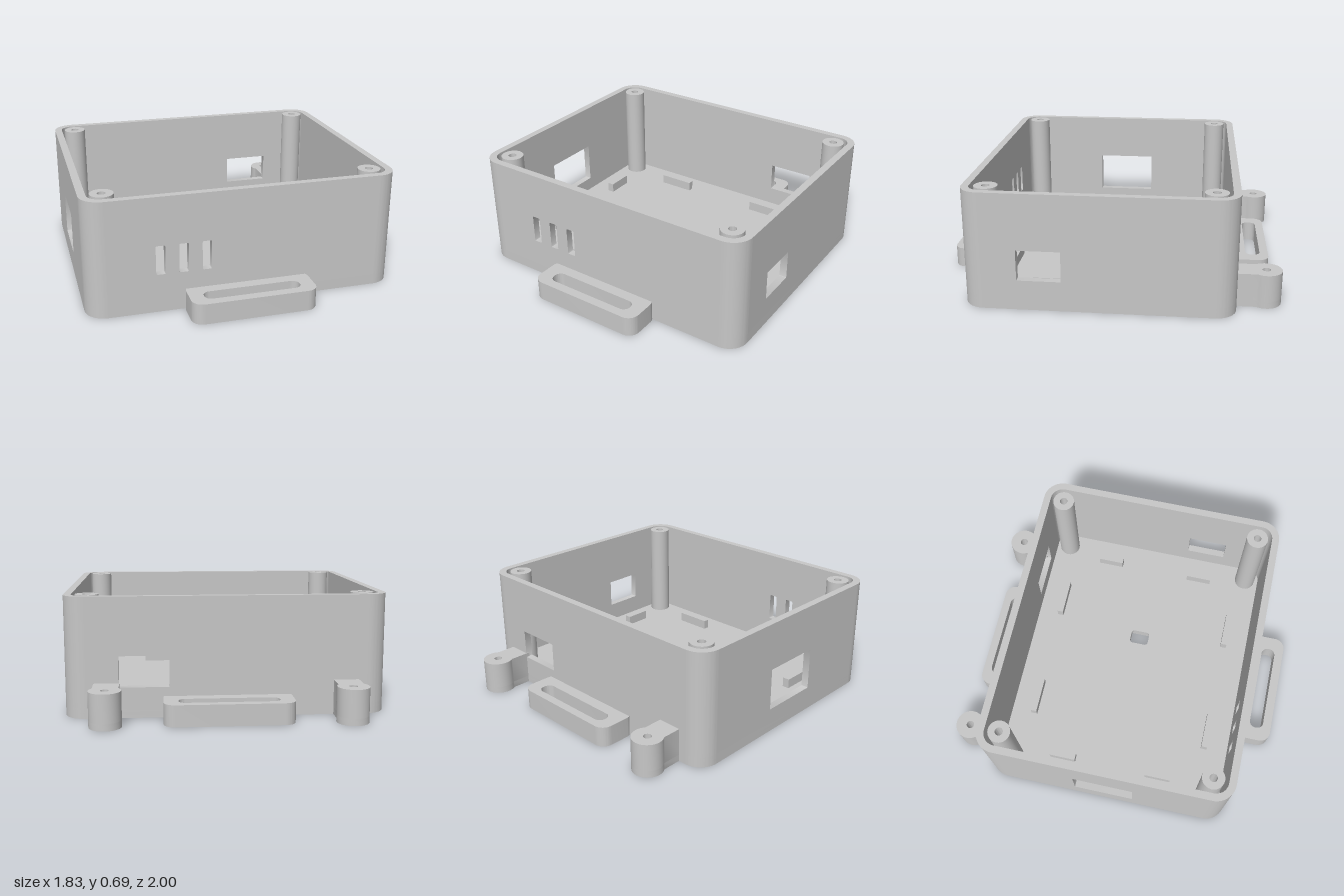
import * as THREE from 'three';
import { toCreasedNormals } from 'three/addons/utils/BufferGeometryUtils.js';

const W = 0.913, BACK = -0.743, FRONT = 0.794, H = 0.685, FLOOR = 0.06, T = 0.044, R = 0.12;

// Rounded rectangle outline between two corners
function roundRect(x0, y0, x1, y1, r, path = new THREE.Shape()) {
  path.moveTo(x0 + r, y0);
  path.lineTo(x1 - r, y0);
  path.absarc(x1 - r, y0 + r, r, -Math.PI / 2, 0);
  path.lineTo(x1, y1 - r);
  path.absarc(x1 - r, y1 - r, r, 0, Math.PI / 2);
  path.lineTo(x0 + r, y1);
  path.absarc(x0 + r, y1 - r, r, Math.PI / 2, Math.PI);
  path.lineTo(x0, y0 + r);
  path.absarc(x0 + r, y0 + r, r, Math.PI, Math.PI * 1.5);
  return path;
}

const hole = (x0, y0, x1, y1, r) => roundRect(x0, y0, x1, y1, r, new THREE.Path());
const circle = (x, y, r, path = new THREE.Path()) => path.absarc(x, y, r, 0, Math.PI * 2);

function extrude(shape, depth) {
  const geo = new THREE.ExtrudeGeometry(shape, { depth, bevelEnabled: false, curveSegments: 12 });
  return toCreasedNormals(geo, 0.6);
}

// Plan outline (x, z) raised from y0 to y1
function slab(shape, y0, y1) {
  return extrude(shape, y1 - y0).rotateX(Math.PI / 2).translate(0, y1, 0);
}

export function createModel() {
  const model = new THREE.Group();
  const grey = new THREE.MeshStandardMaterial({ color: 0xc7c7c7 });
  grey.name = 'grey plastic';
  const add = (name, geo) => {
    const mesh = new THREE.Mesh(geo, grey);
    mesh.name = name;
    model.add(mesh);
    return mesh;
  };

  // Floor: lower layer with a square recess, cable notch and blind pin holes
  const lower = roundRect(-W, BACK, W, FRONT, R);
  const recess = new THREE.Path();
  const a = 0.165, z0 = -0.14, z1 = 0.19, r = 0.03;
  recess.moveTo(-a + r, z0);
  recess.lineTo(a - r, z0);
  recess.absarc(a - r, z0 + r, r, -Math.PI / 2, 0);
  recess.lineTo(a, -0.038);
  recess.lineTo(0.243, -0.038);
  recess.lineTo(0.243, 0.085);
  recess.lineTo(a, 0.085);
  recess.lineTo(a, z1 - r);
  recess.absarc(a - r, z1 - r, r, 0, Math.PI / 2);
  recess.lineTo(-a + r, z1);
  recess.absarc(-a + r, z1 - r, r, Math.PI / 2, Math.PI);
  recess.lineTo(-a, z0 + r);
  recess.absarc(-a + r, z0 + r, r, Math.PI, Math.PI * 1.5);
  lower.holes.push(recess);
  for (const x of [-0.23, 0.23]) {
    for (const z of [-0.22, 0.28]) lower.holes.push(circle(x, z, 0.012));
  }
  add('floorUnderside', slab(lower, 0, 0.035));
  const upper = roundRect(-W, BACK, W, FRONT, R);
  upper.holes.push(hole(0.153, -0.038, 0.243, 0.085, 0.02));
  add('floor', slab(upper, 0.035, FLOOR));

  // Flat walls with their openings
  function wall(u0, u1, openings) {
    const s = new THREE.Shape();
    s.moveTo(u0, FLOOR);
    s.lineTo(u1, FLOOR);
    s.lineTo(u1, H);
    s.lineTo(u0, H);
    for (const o of openings) s.holes.push(hole(...o));
    return extrude(s, T);
  }
  const slots = [-0.522, -0.39, -0.258].map(x => [x, 0.228, x + 0.054, 0.4, 0.008]);
  add('frontWall', wall(-W + R, W - R, slots).translate(0, 0, FRONT - T));
  add('backWall', wall(-W + R, W - R, [[0.325, 0.175, 0.607, 0.353, 0.002]]).translate(0, 0, BACK));
  const sideWall = o => wall(-FRONT + R, -BACK - R, [o]).rotateY(Math.PI / 2);
  add('leftWall', sideWall([-0.478, 0.177, -0.228, 0.356, 0.002]).translate(W - T, 0, 0));
  add('rightWall', sideWall([-0.21, 0.145, 0.16, 0.4, 0.002]).translate(-W, 0, 0));

  // Rounded wall corners
  [[W - R, FRONT - R], [-W + R, FRONT - R], [-W + R, BACK + R], [W - R, BACK + R]].forEach(([x, z], i) => {
    const s = new THREE.Shape();
    const from = i * Math.PI / 2, to = from + Math.PI / 2;
    s.absarc(x, z, R, from, to, false);
    s.absarc(x, z, R - T, to, from, true);
    add('wallCorner', slab(s, FLOOR, H));
  });

  // Hollow screw posts
  for (const x of [-0.783, 0.783]) {
    for (const z of [-0.612, 0.658]) {
      const s = circle(x, z, 0.067, new THREE.Shape());
      s.holes.push(circle(x, z, 0.024));
      add('screwPost', slab(s, FLOOR, H));
    }
  }

  // Locating ribs on the floor
  const rib = (w, d, x, z) =>
    add('floorRib', new THREE.BoxGeometry(w, 0.06, d)).position.set(x, FLOOR + 0.03, z);
  for (const side of [-1, 1]) {
    for (const z of [-0.55, 0.597]) rib(0.23, 0.038, side * 0.364, z);
    for (const z of [-0.29, 0.338]) rib(0.043, 0.165, side * 0.721, z);
  }

  // Strap loops at front and back
  function strapLoop(name, za, zb, sa, sb) {
    const s = roundRect(-0.362, za, 0.362, zb, 0.065);
    s.holes.push(hole(-0.28, sa, 0.28, sb, 0.04));
    add(name, slab(s, 0, 0.122));
  }
  strapLoop('frontStrapLoop', 0.76, 1.0, 0.859, 0.946);
  strapLoop('backStrapLoop', -0.951, -0.705, -0.901, -0.814);

  // Mounting lugs: round eye on a short arm, with a blind screw hole from above
  function lugOutline(x) {
    const eye = 0.09, half = 0.072, zc = -0.91;
    const spread = Math.asin(half / eye);
    const s = new THREE.Shape();
    s.absarc(x, zc, eye, Math.PI / 2 + spread, Math.PI * 2.5 - spread, false);
    s.lineTo(x + half, BACK + 0.02);
    s.lineTo(x - half, BACK + 0.02);
    return s;
  }
  for (const x of [-0.676, 0.676]) {
    add('mountingLugBase', slab(lugOutline(x), 0, 0.04));
    const top = lugOutline(x);
    top.holes.push(circle(x, -0.91, 0.024));
    add('mountingLug', slab(top, 0.04, 0.2));
  }

  return model;
}
